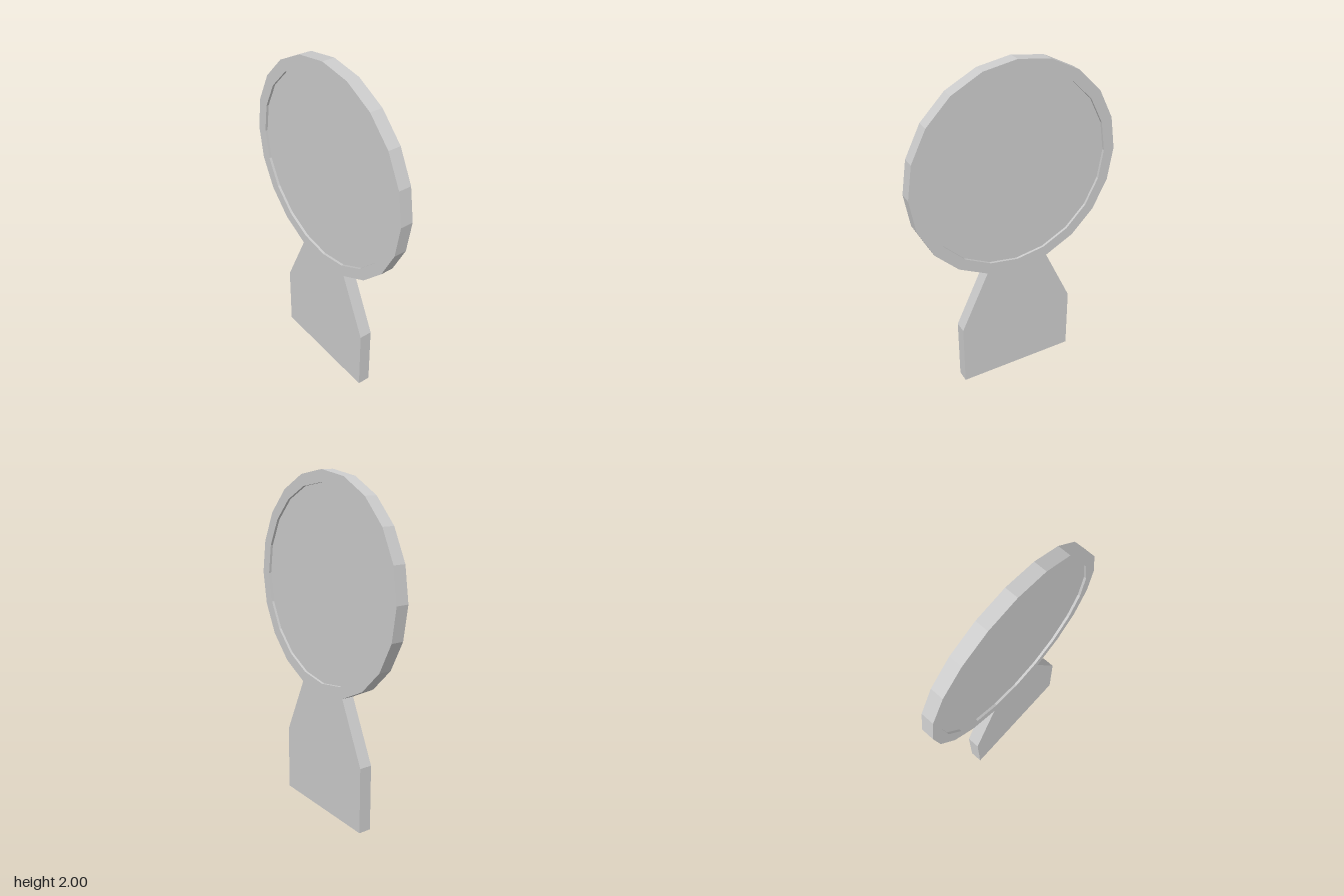
import * as THREE from 'three';

const SIDES = 20, CENTER_Y = 1.363, OUTER_R = 0.637, INNER_R = 0.569;
const THICK = 0.076, RECESS = 0.015;

const ringPoint = (radius, i) => {
  const a = (i / SIDES) * Math.PI * 2;
  return new THREE.Vector2(Math.cos(a) * radius, CENTER_Y + Math.sin(a) * radius);
};

export function createModel() {
  const model = new THREE.Group();
  const material = new THREE.MeshStandardMaterial({ color: 0xcccccc, flatShading: true });

  // Flat outline: flared handle running into a 20-sided rim, open at the middle
  const outline = [
    new THREE.Vector2(-0.368, 0), new THREE.Vector2(0.368, 0), new THREE.Vector2(0.368, 0.397),
  ];
  for (let i = -4; i <= 14; i++) outline.push(ringPoint(OUTER_R, i));
  outline.push(new THREE.Vector2(-0.368, 0.397));

  const shape = new THREE.Shape(outline);
  const opening = [];
  for (let i = 0; i < SIDES; i++) opening.push(ringPoint(INNER_R, -i));
  shape.holes.push(new THREE.Path(opening));

  const frameGeometry = new THREE.ExtrudeGeometry(shape, { depth: THICK, bevelEnabled: false });
  frameGeometry.translate(0, 0, -THICK / 2);
  const frame = new THREE.Mesh(frameGeometry, material);
  frame.name = 'rimAndHandle';
  model.add(frame);

  // Recessed round panels, one on each side
  for (const side of [1, -1]) {
    const panel = new THREE.Mesh(new THREE.CircleGeometry(INNER_R, SIDES), material);
    panel.name = side > 0 ? 'frontPanel' : 'backPanel';
    panel.position.set(0, CENTER_Y, side * (THICK / 2 - RECESS));
    if (side < 0) panel.rotation.y = Math.PI;
    model.add(panel);
  }
  return model;
}
